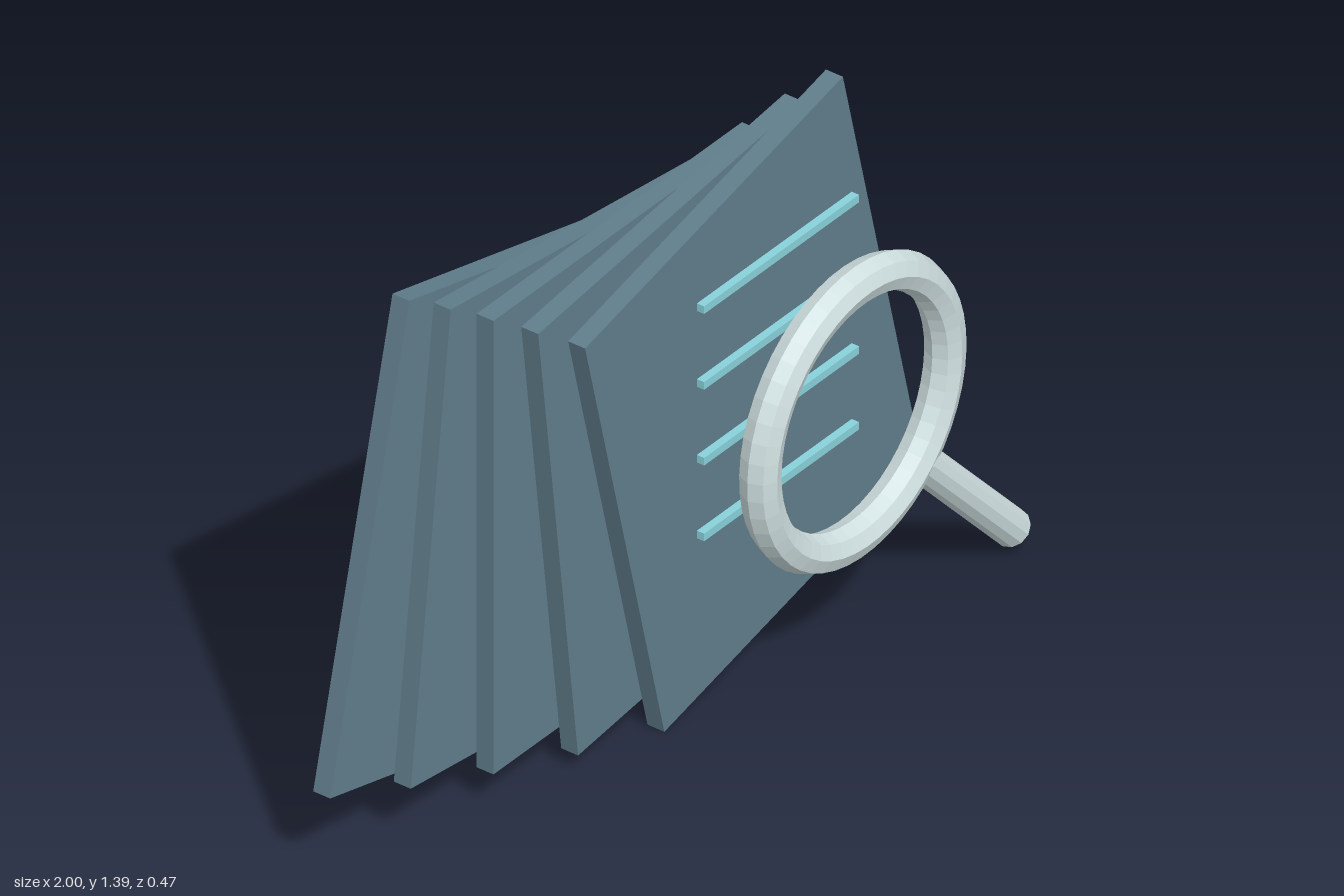
import * as THREE from 'three';

export function createModel() {
  const model = new THREE.Group();
  const mat = (name, color, flatShading = false) => {
    const m = new THREE.MeshStandardMaterial({ color, flatShading });
    m.name = name;
    return m;
  };
  const slate = mat('slate', 0x607d8b);
  const aqua = mat('aqua', 0x88d2da);
  const silver = mat('silver', 0xcfdfe0, true);

  const add = (name, geometry, material, x, y, z, parent = model) => {
    const mesh = new THREE.Mesh(geometry, material);
    mesh.name = name;
    mesh.position.set(x, y, z);
    parent.add(mesh);
    return mesh;
  };

  // Fan of five sheets, from the back one to the front one
  const sheet = new THREE.BoxGeometry(0.955, 1.2, 0.047);
  for (let i = -2; i <= 2; i++) {
    const s = add('sheet', sheet, slate, -0.075 + i * 0.16, 0.7, -0.105 + i * 0.0535);
    s.rotation.z = i * 0.12;
  }

  // Text lines raised in front of the first sheet
  const line = new THREE.BoxGeometry(0.557, 0.02, 0.02);
  for (let i = 0; i < 4; i++) add('textLine', line, aqua, 0.311, 0.471 + i * 0.2005, 0.042);

  // Magnifier: open ring with a radial handle
  const magnifier = new THREE.Group();
  magnifier.name = 'magnifier';
  magnifier.position.set(0.39, 0.67, 0.189);
  magnifier.rotation.z = Math.atan2(-0.61, 0.572);
  model.add(magnifier);
  add('ring', new THREE.TorusGeometry(0.333, 0.047, 8, 48), silver, 0, 0, 0, magnifier);
  const start = 0.34, end = 0.836;
  const handle = add('handle', new THREE.CylinderGeometry(0.046, 0.046, end - start, 12),
    silver, (start + end) / 2, 0, 0, magnifier);
  handle.rotation.z = -Math.PI / 2;

  return model;
}
